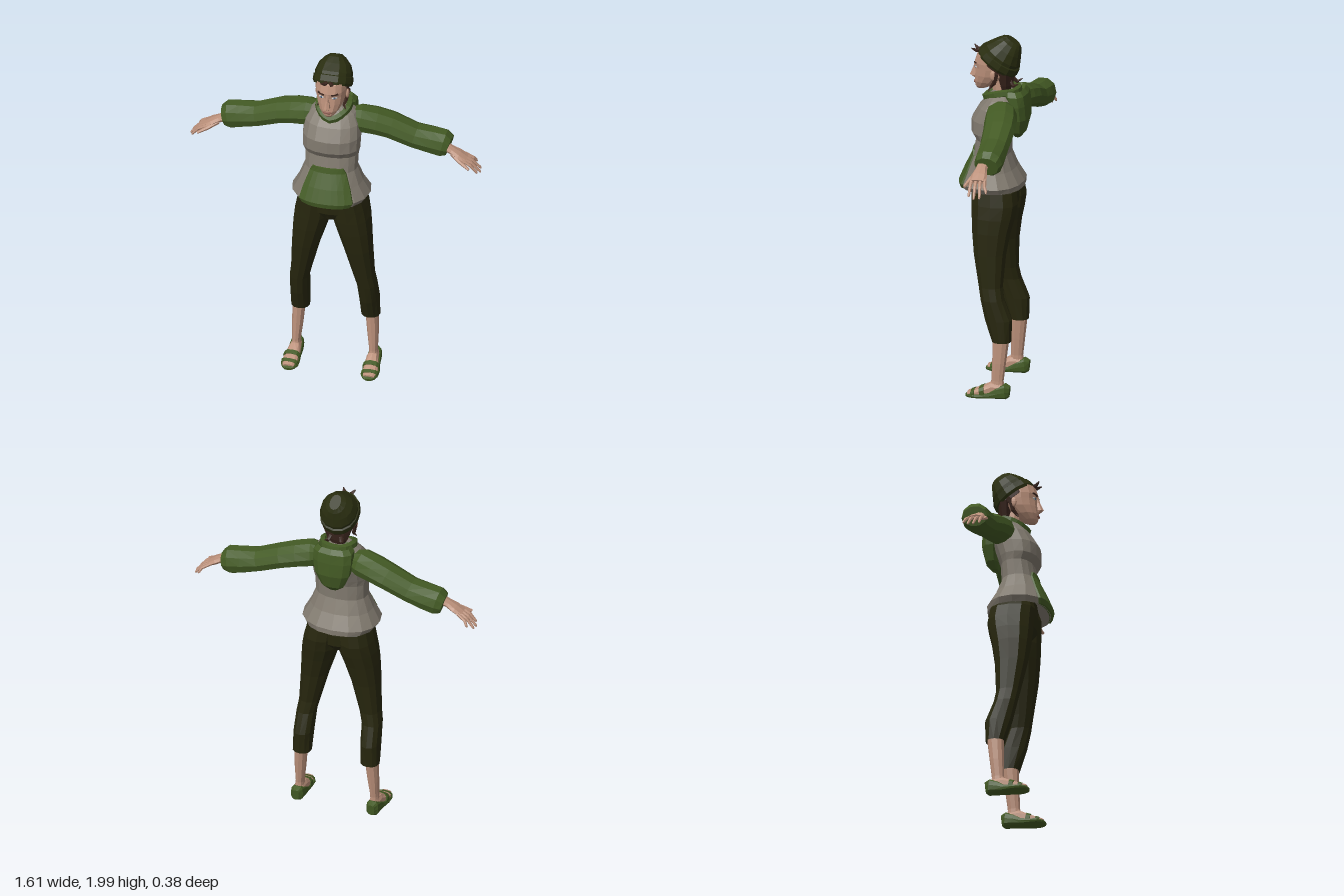
import * as THREE from 'three';

const V3 = (x, y, z) => new THREE.Vector3(x, y, z);
const Y = V3(0, 1, 0), Z = V3(0, 0, 1);

function paint(name, color) {
  const m = new THREE.MeshStandardMaterial({ color });
  m.name = name;
  return m;
}

// Faceted surface through rows of points; zero-area triangles are dropped
function surface(rows, closed) {
  const pos = [], tri = new THREE.Triangle();
  const face = (a, b, c) => {
    if (tri.set(a, b, c).getArea() > 1e-9) for (const v of [a, b, c]) pos.push(v.x, v.y, v.z);
  };
  for (let r = 0; r < rows.length - 1; r++) {
    const lo = rows[r], hi = rows[r + 1], n = lo.length;
    for (let i = 0; i < (closed ? n : n - 1); i++) {
      const j = (i + 1) % n;
      face(lo[i], lo[j], hi[j]);
      face(lo[i], hi[j], hi[i]);
    }
  }
  const g = new THREE.BufferGeometry();
  g.setAttribute('position', new THREE.Float32BufferAttribute(pos, 3));
  g.computeVertexNormals();
  return g;
}

const pow = (v, p) => Math.sign(v) * Math.abs(v) ** p;
function ring(c, U, V, ru, rv, n, p) {
  return Array.from({ length: n }, (_, i) => {
    const a = i / n * Math.PI * 2;
    return c.clone().addScaledVector(U, ru * pow(Math.sin(a), p)).addScaledVector(V, rv * pow(Math.cos(a), p));
  });
}

function capped(rings) {
  const middle = r => {
    const c = r.reduce((s, v) => s.add(v), V3(0, 0, 0)).divideScalar(r.length);
    return r.map(() => c);
  };
  return surface([middle(rings[0]), ...rings, middle(rings[rings.length - 1])], true);
}

// Upright body: each level is [y, xMin, xMax, zFront, zBack], bottom to top
const stack = (levels, n = 12, p = 0.9) => capped(levels.map(([y, a, b, f, k]) =>
  ring(V3((a + b) / 2, y, (f + k) / 2), V3(1, 0, 0), Z, (b - a) / 2, (f - k) / 2, n, p)));
const symmetric = (levels, n, p) => stack(levels.map(([y, w, f, k]) => [y, -w, w, f, k]), n, p);

// Limb along a path: each stop is [x, y, z, halfThickness, halfWidth], width measured along "side"
function limb(stops, side = Z, n = 8, p = 0.95) {
  const at = i => V3(...stops[Math.max(0, Math.min(stops.length - 1, i))].slice(0, 3));
  return capped(stops.map(([, , , ru, rv], i) => {
    const W = at(i + 1).sub(at(i - 1)).normalize();
    const U = W.clone().cross(side).normalize();
    return ring(at(i), U, U.clone().cross(W), ru, rv, n, p);
  }));
}

function mirrored(geometry) {
  const g = geometry.index ? geometry.toNonIndexed() : geometry.clone();
  const a = g.attributes.position, p = V3(), q = V3();
  for (let i = 0; i < a.count; i += 3) {
    p.fromBufferAttribute(a, i + 1);
    q.fromBufferAttribute(a, i + 2);
    a.setXYZ(i + 1, q.x, q.y, q.z);
    a.setXYZ(i + 2, p.x, p.y, p.z);
  }
  g.scale(-1, 1, 1);
  g.computeVertexNormals();
  return g;
}

const blob = (x, y, z, sx, sy, sz, turn = 0) =>
  new THREE.SphereGeometry(1, 10, 6).scale(sx, sy, sz).rotateY(turn).translate(x, y, z);

export function createModel() {
  const model = new THREE.Group();
  const green = paint('hoodie green', 0x435a24), grey = paint('hoodie grey', 0x817a6f);
  const pantsColor = paint('dark olive', 0x27260e), hatColor = paint('dark hat green', 0x2a2e10);
  const skin = paint('skin', 0xbc917b), hair = paint('dark brown hair', 0x3a251d);
  const white = paint('eye white', 0xc9c8c6), iris = paint('blue iris', 0x4b6584), lip = paint('lips', 0x8e5a4e);

  const add = (name, geometry, material) => {
    const m = new THREE.Mesh(geometry, material);
    m.name = name;
    model.add(m);
  };
  const pair = (name, geometry, material) => {
    add(name + 'Left', geometry, material);
    add(name + 'Right', mirrored(geometry), material);
  };

  // Hoodie body with a flared hem
  const torso = [[1.2, 0.15, 0.1, -0.13], [1.145, 0.195, 0.172, -0.165], [1.175, 0.215, 0.178, -0.165],
    [1.25, 0.175, 0.148, -0.12], [1.33, 0.145, 0.11, -0.088], [1.42, 0.148, 0.093, -0.09],
    [1.46, 0.158, 0.12, -0.105], [1.53, 0.16, 0.12, -0.13], [1.6, 0.152, 0.08, -0.14],
    [1.65, 0.125, 0.035, -0.13], [1.69, 0.065, 0, -0.1]];
  add('hoodieBody', symmetric(torso, 16, 0.88), grey);

  // Front pocket following the curve of the hoodie
  const bodyFront = (x, y) => {
    const i = Math.max(2, torso.findIndex((l, k) => k > 1 && l[0] >= y));
    const lo = torso[i - 1], hi = torso[i], t = (y - lo[0]) / (hi[0] - lo[0]);
    const [, w, f, k] = lo.map((v, j) => v + (hi[j] - v) * t);
    const s = Math.min(1, Math.abs(x) / w) ** (1 / 0.88);
    return (f + k) / 2 + (f - k) / 2 * Math.sqrt(1 - s * s) ** 0.88;
  };
  const pocketRows = [[1.147, 0.125, -0.01], [1.147, 0.13, 0.01], [1.175, 0.148, 0.01], [1.25, 0.128, 0.009],
    [1.33, 0.1, 0.008], [1.358, 0.085, 0.007], [1.36, 0.085, -0.01]].map(([y, w, out]) =>
    [-1, -1, -0.75, -0.5, -0.25, 0, 0.25, 0.5, 0.75, 1, 1].map((u, c) =>
      V3(u * w, y, bodyFront(u * w, y) + (c === 0 || c === 10 ? -0.01 : out))));
  add('frontPocket', surface(pocketRows, false), green);

  // Collar and hanging hood
  const neckline = new THREE.CatmullRomCurve3([V3(0, 1.638, 0.05), V3(0.06, 1.66, 0.015), V3(0.085, 1.685, -0.05),
    V3(0.06, 1.69, -0.11), V3(0, 1.69, -0.13), V3(-0.06, 1.69, -0.11), V3(-0.085, 1.685, -0.05), V3(-0.06, 1.66, 0.015)], true);
  const collar = new THREE.TubeGeometry(neckline, 18, 0.021, 5, true).toNonIndexed();
  collar.computeVertexNormals();
  add('collar', collar, green);
  add('hood', symmetric([[1.425, 0.025, -0.11, -0.145], [1.46, 0.065, -0.1, -0.175], [1.54, 0.1, -0.09, -0.195],
    [1.62, 0.113, -0.08, -0.192], [1.675, 0.112, -0.06, -0.185], [1.7, 0.09, -0.06, -0.165], [1.67, 0.06, -0.08, -0.145]], 10, 0.8), green);

  // Puffed sleeves
  pair('sleeve', limb([[0.1, 1.595, -0.07, 0.06, 0.065], [0.14, 1.592, -0.072, 0.074, 0.083], [0.22, 1.578, -0.088, 0.07, 0.088],
    [0.3, 1.556, -0.1, 0.066, 0.087], [0.43, 1.505, -0.106, 0.064, 0.08], [0.52, 1.486, -0.112, 0.072, 0.08],
    [0.59, 1.472, -0.114, 0.077, 0.077], [0.622, 1.463, -0.112, 0.055, 0.066], [0.61, 1.466, -0.112, 0.04, 0.05]].slice(0, 8), Z, 10), green);

  // Hands with spread fingers
  pair('palm', limb([[0.59, 1.475, -0.09, 0.024, 0.032], [0.64, 1.453, -0.088, 0.02, 0.032], [0.68, 1.432, -0.087, 0.019, 0.044],
    [0.72, 1.41, -0.088, 0.014, 0.045]]), skin);
  [[0.768, -0.122, -0.145], [0.795, -0.099, -0.115], [0.8, -0.076, -0.085], [0.788, -0.053, -0.055]].forEach(([x, z0, z1], i) => {
    const y = 1.335 + (0.8 - x) * 0.8;
    pair('finger' + (i + 1), limb([[0.705, 1.418, z0, 0.009, 0.011], [0.75, 1.39, (z0 + z1) / 2, 0.0085, 0.0095],
      [x - 0.006, y + 0.008, z1, 0.007, 0.007], [x, y, z1, 0.004, 0.004]], Z, 6), skin);
  });
  pair('thumb', limb([[0.645, 1.44, -0.07, 0.012, 0.014], [0.7, 1.41, -0.04, 0.011, 0.012],
    [0.75, 1.385, -0.02, 0.007, 0.008]], Z, 6), skin);

  // Cropped trousers
  add('hips', symmetric([[1.0, 0.05, 0.07, -0.09], [1.05, 0.17, 0.1, -0.13], [1.12, 0.18, 0.105, -0.135], [1.21, 0.145, 0.1, -0.11]], 14), pantsColor);
  pair('trouserLeg', stack([[0.335, 0.155, 0.23, -0.05, -0.125], [0.318, 0.142, 0.245, -0.035, -0.14], [0.44, 0.138, 0.243, 0.008, -0.145],
    [0.55, 0.132, 0.24, 0.032, -0.1], [0.62, 0.115, 0.23, 0.045, -0.088], [0.8, 0.067, 0.222, 0.08, -0.1],
    [0.92, 0.028, 0.216, 0.095, -0.12], [1.0, 0.002, 0.208, 0.102, -0.14], [1.07, -0.005, 0.195, 0.105, -0.152],
    [1.14, -0.01, 0.178, 0.108, -0.142], [1.2, -0.01, 0.14, 0.09, -0.1]], 12), pantsColor);

  // Bare calves, insteps and open flat shoes
  pair('calf', stack([[0.03, 0.19, 0.24, -0.02, -0.11], [0.1, 0.19, 0.235, -0.035, -0.103], [0.2, 0.178, 0.238, -0.038, -0.115],
    [0.34, 0.165, 0.236, -0.04, -0.132]], 10), skin);
  pair('instep', limb([[0.214, 0.05, -0.09, 0.028, 0.04], [0.214, 0.05, -0.04, 0.033, 0.042], [0.217, 0.038, 0, 0.038, 0.03],
    [0.222, 0.026, 0.05, 0.042, 0.02], [0.222, 0.018, 0.09, 0.03, 0.014]], Y, 10, 0.8), skin);
  pair('shoe', limb([[0.215, 0.04, -0.136, 0.018, 0.032], [0.215, 0.042, -0.115, 0.034, 0.042], [0.215, 0.034, -0.075, 0.038, 0.034],
    [0.217, 0.02, -0.03, 0.04, 0.02], [0.22, 0.015, 0.02, 0.048, 0.015], [0.22, 0.014, 0.06, 0.049, 0.014],
    [0.222, 0.011, 0.088, 0.036, 0.011], [0.222, 0.008, 0.102, 0.018, 0.008]], Y, 12, 0.6), green);
  pair('shoeStrap', limb([[0.218, 0.036, -0.002, 0.044, 0.036], [0.219, 0.031, 0.022, 0.047, 0.031]], Y, 10, 0.75), green);
  pair('toeStrap', limb([[0.221, 0.024, 0.05, 0.047, 0.024], [0.222, 0.02, 0.07, 0.044, 0.02]], Y, 10, 0.75), green);

  // Neck and head
  add('neck', symmetric([[1.6, 0.06, 0, -0.11], [1.66, 0.048, 0.005, -0.09], [1.76, 0.046, 0.03, -0.08]], 10), skin);
  add('head', symmetric([[1.685, 0.018, 0.095, 0.055], [1.7, 0.036, 0.106, 0.02], [1.73, 0.058, 0.111, -0.03],
    [1.77, 0.076, 0.108, -0.08], [1.81, 0.083, 0.104, -0.095], [1.84, 0.086, 0.109, -0.1], [1.89, 0.086, 0.094, -0.1],
    [1.94, 0.06, 0.03, -0.1]], 14), skin);
  add('nose', symmetric([[1.743, 0.012, 0.118, 0.09], [1.756, 0.018, 0.138, 0.09], [1.8, 0.009, 0.119, 0.09], [1.835, 0.01, 0.11, 0.09]], 6, 1), skin);
  add('mouth', blob(0, 1.722, 0.107, 0.024, 0.008, 0.008), lip);
  pair('ear', blob(0.083, 1.785, -0.01, 0.01, 0.028, 0.018), skin);
  pair('eye', blob(0.036, 1.815, 0.094, 0.017, 0.007, 0.007, 0.4), white);
  pair('iris', blob(0.036, 1.815, 0.0985, 0.0065, 0.0065, 0.004, 0.3), iris);
  pair('eyebrow', new THREE.BoxGeometry(0.038, 0.007, 0.01).rotateZ(0.18).rotateY(0.4).translate(0.038, 1.838, 0.098), hair);

  // Hair below the hat, with loose locks
  add('napeHair', symmetric([[1.68, 0.04, -0.03, -0.085], [1.72, 0.06, -0.03, -0.1], [1.8, 0.089, -0.02, -0.113], [1.85, 0.09, -0.01, -0.11]], 10), hair);
  pair('sideLock', limb([[0.085, 1.8, -0.03, 0.012, 0.014], [0.074, 1.74, -0.015, 0.011, 0.012], [0.066, 1.715, 0.005, 0.008, 0.008],
    [0.08, 1.695, 0.015, 0.002, 0.002]], Z, 5), hair);
  pair('napeLock', limb([[0.03, 1.745, -0.09, 0.014, 0.014], [0.04, 1.72, -0.115, 0.01, 0.01], [0.05, 1.738, -0.142, 0.002, 0.002]], Y, 5), hair);
  pair('fringeLock', limb([[0.005, 1.9, 0.07, 0.012, 0.012], [0.02, 1.9, 0.1, 0.012, 0.01], [0.035, 1.915, 0.12, 0.003, 0.003]], Y, 5), hair);

  // Knitted hat, tipped back, with a folded cuff
  const forward = V3(0, 0.56, 0.83).normalize(), up = forward.clone().cross(V3(1, 0, 0)).normalize();
  const tipped = levels => capped(levels.map(([d, ru, rv]) =>
    ring(V3(0, 1.83, -0.01).addScaledVector(up, d), V3(1, 0, 0), forward, ru, rv, 14, 0.95)));
  add('hairline', tipped([[-0.012, 0.089, 0.108], [0.02, 0.092, 0.112]]), hair);
  add('hatCuff', tipped([[0.012, 0.09, 0.11], [0, 0.1, 0.12], [0.015, 0.108, 0.125], [0.048, 0.107, 0.12], [0.052, 0.1, 0.11]]), hatColor);
  add('hatCrown', tipped([[0.03, 0.1, 0.112], [0.07, 0.102, 0.108], [0.115, 0.086, 0.083], [0.15, 0.055, 0.062], [0.166, 0.03, 0.045]]), hatColor);

  return model;
}
